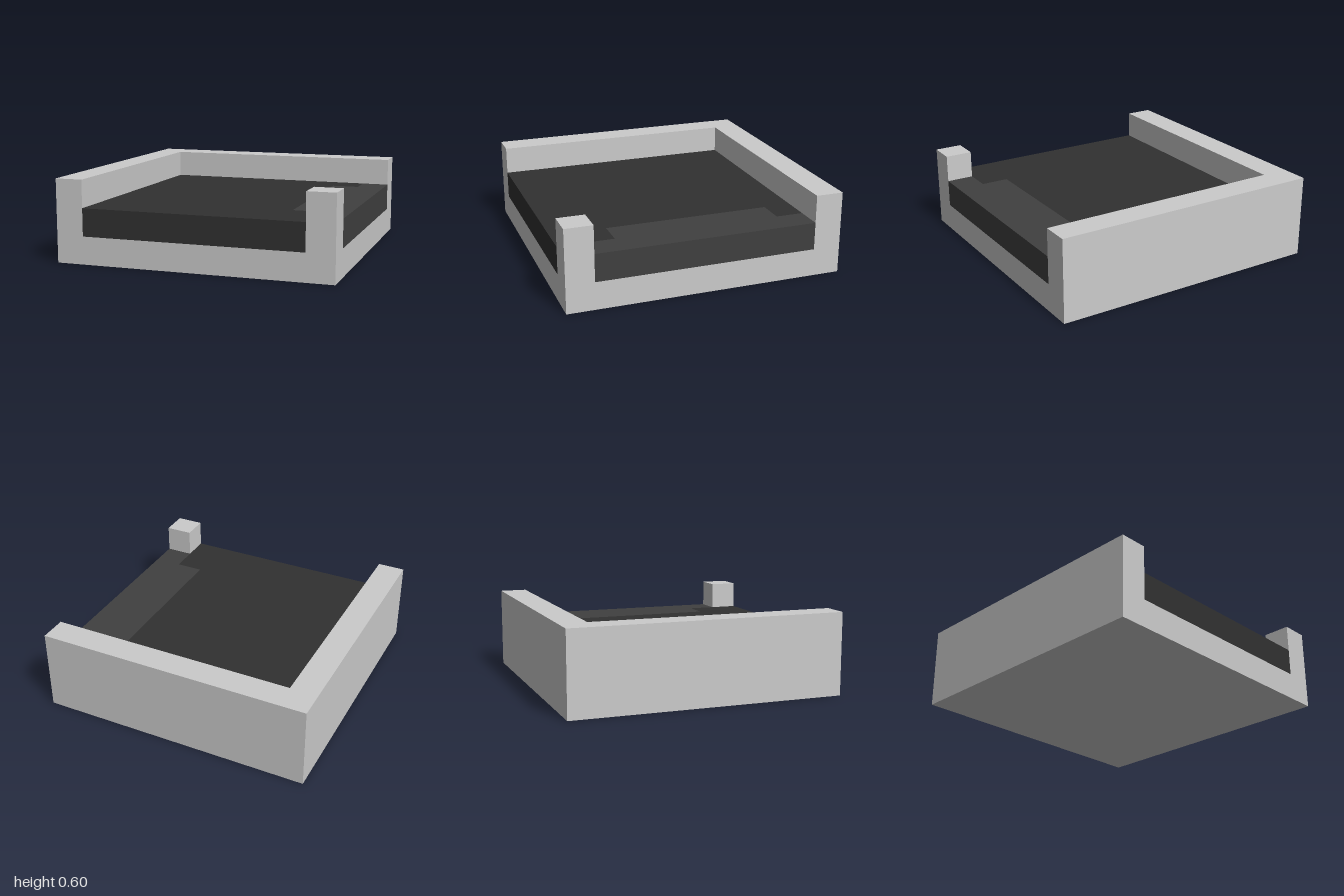
import * as THREE from 'three';

const material = (color) => new THREE.MeshStandardMaterial({ color, flatShading: true });

// Upright prism from a plan outline of [x, z] points, between heights y0 and y1.
function prism(name, outline, y0, y1, mat) {
  const shape = new THREE.Shape(outline.map(([x, z]) => new THREE.Vector2(x, -z)));
  const geometry = new THREE.ExtrudeGeometry(shape, { depth: y1 - y0, bevelEnabled: false });
  geometry.rotateX(-Math.PI / 2).translate(0, y0, 0);
  const mesh = new THREE.Mesh(geometry, mat);
  mesh.name = name;
  return mesh;
}

const rect = (x0, x1, z0, z1) => [[x0, z0], [x0, z1], [x1, z1], [x1, z0]];

export function createModel() {
  const model = new THREE.Group();
  model.name = 'walledCornerTile';
  const stone = material(0xcccccc);
  const dark = material(0x313131);
  const charcoal = material(0x404040);

  // Square slab, with an L-shaped wall along the back and right side
  model.add(prism('baseSlab', rect(-1, 1, -1, 1), 0, 0.2, stone));
  model.add(prism('cornerWall',
    [[-1, -1], [-1, 1], [-0.8, 1], [-0.8, -0.8], [1, -0.8], [1, -1]], 0.2, 0.6, stone));

  // Post at the open corner
  model.add(prism('cornerPost', rect(0.8, 1, 0.8, 1), 0.2, 0.6, stone));

  // Dark floor, notched along the left side for the inlay
  model.add(prism('floor', [
    [-0.8, -0.8], [-0.8, 1], [0.8, 1], [0.8, 0.6],
    [0.6, 0.6], [0.6, -0.6], [0.8, -0.6], [0.8, -0.8],
  ], 0.2, 0.4, dark));

  // Lighter stepped inlay filling the notch and the left edge
  model.add(prism('edgeInlay', [
    [0.8, -0.8], [0.8, -0.6], [0.6, -0.6], [0.6, 0.6],
    [0.8, 0.6], [0.8, 0.8], [1, 0.8], [1, -0.8],
  ], 0.2, 0.4, charcoal));

  return model;
}
